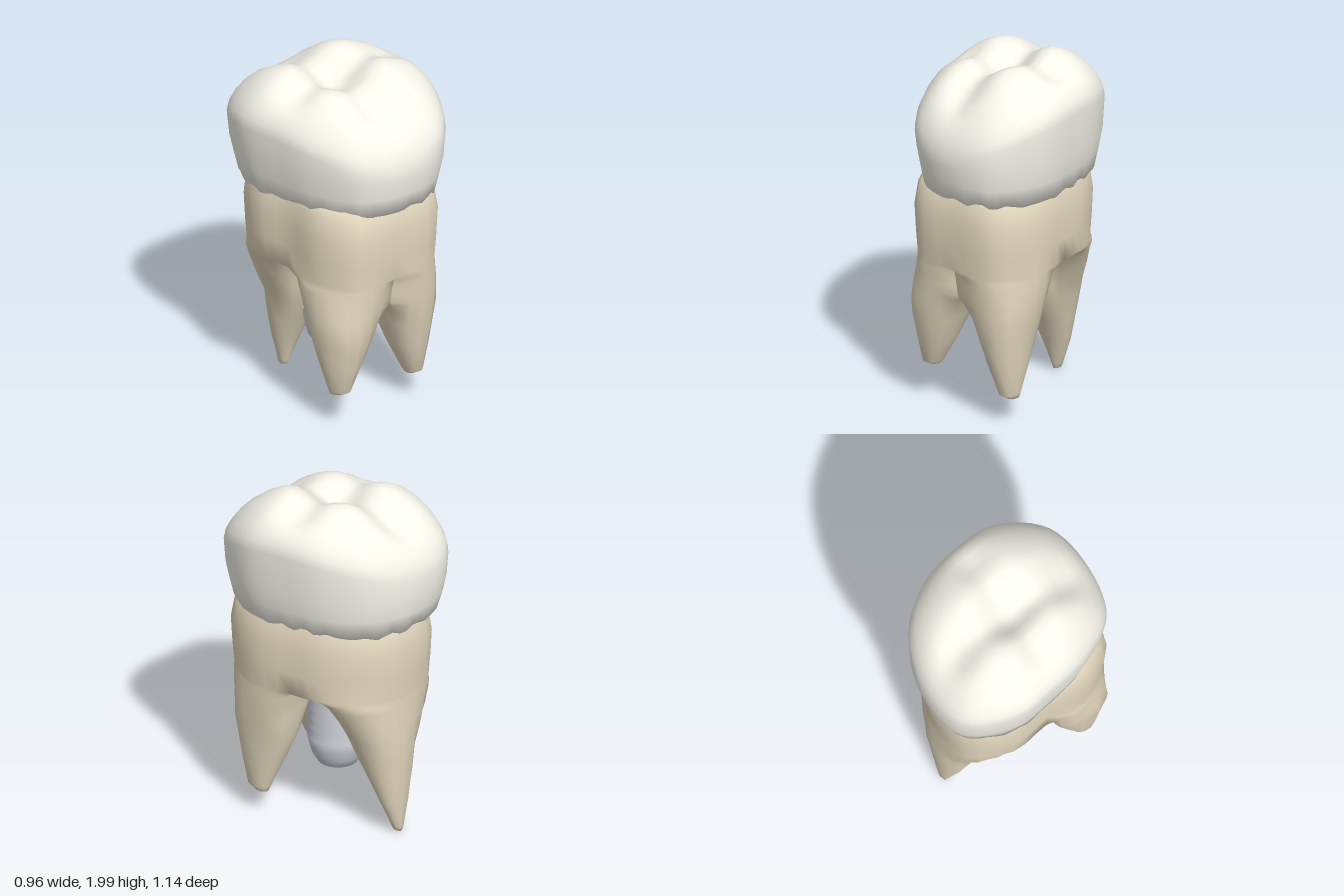
import * as THREE from 'three';
import { mergeGeometries, mergeVertices } from 'three/addons/utils/BufferGeometryUtils.js';

// Closed plan outline: one [x, z] point every 30 degrees, from +x towards +z
const planCurve = (points) =>
  new THREE.CatmullRomCurve3(points.map(([x, z]) => new THREE.Vector3(x, 0, z)), true);

const crownPlan = planCurve([
  [0.47, 0], [0.46, 0.27], [0.29, 0.52], [0, 0.565], [-0.27, 0.47], [-0.41, 0.24],
  [-0.46, 0], [-0.47, -0.27], [-0.31, -0.53], [0, -0.565], [0.27, -0.45], [0.42, -0.24],
]);
const trunkPlan = planCurve([
  [0.39, 0], [0.402, 0.26], [0.28, 0.48], [-0.015, 0.5], [-0.27, 0.47], [-0.388, 0.26],
  [-0.372, 0], [-0.388, -0.24], [-0.25, -0.465], [0.01, -0.5], [0.225, -0.41], [0.355, -0.215],
]);

// Skin over closed rings of equal length, listed from top to bottom
function loft(rings) {
  const n = rings[0].length;
  const index = [];
  for (let r = 0; r < rings.length - 1; r++) {
    for (let i = 0; i < n; i++) {
      const a = r * n + i, b = r * n + (i + 1) % n;
      index.push(a, b, a + n, b, b + n, a + n);
    }
  }
  const geo = new THREE.BufferGeometry().setFromPoints(rings.flat());
  geo.setIndex(index);
  return geo;
}

function smooth(parts) {
  const geo = mergeVertices(mergeGeometries(parts), 1e-4);
  geo.computeVertexNormals();
  return geo;
}

// Crown: four-cusped top with crossing grooves, swollen sides, ragged lower margin
function crownGeometry() {
  const N = 72;
  const gauss = (v, s) => Math.exp(-(v * v) / (s * s));
  const ring = (fn) => Array.from({ length: N }, (_, i) => fn(crownPlan.getPoint(i / N), i / N * Math.PI * 2));
  const dome = [[0, 1.99], [0.08, 1.99], [0.16, 1.99], [0.25, 1.995], [0.34, 1.998], [0.44, 1.985],
    [0.55, 1.955], [0.65, 1.92], [0.75, 1.88], [0.85, 1.825], [0.93, 1.765], [0.98, 1.71], [1, 1.65]];
  const rings = dome.map(([k, y]) => ring((p) => {
    const x = p.x * k, z = p.z * k;
    const fade = 1 - THREE.MathUtils.smoothstep(k, 0.6, 0.95);
    const groove = 0.065 * gauss(z, 0.12) + 0.085 * gauss(x + 0.04, 0.12);
    return new THREE.Vector3(x, y + 0.08 * x + 0.28 * x * x - 0.04 * z - 0.22 * z * z - groove * fade, z);
  }));
  const sides = [[0.955, 1, 1.5, 0], [0.905, 0.975, 1.4, 0], [0.86, 0.93, 1.295, 1], [0.76, 0.86, 1.33, 0], [0, 0, 1.36, 0]];
  for (const [sx, sz, y, rag] of sides) {
    rings.push(ring((p, t) => new THREE.Vector3(
      p.x * sx, y + rag * (0.016 * Math.sin(7 * t) * Math.sin(11 * t + 1) + 0.006 * Math.sin(23 * t)), p.z * sz)));
  }
  return smooth([loft(rings)]);
}

// Root: a trunk that splits into three sectors, each tapering to its own tip
function rootGeometry() {
  const N = 36, SPLIT = 0.87, SEAM = -0.015;
  const trunkRing = ([y, s]) => Array.from({ length: N }, (_, i) => {
    const p = trunkPlan.getPoint(i / N);
    return new THREE.Vector3(SEAM + (p.x - SEAM) * s, y, p.z * s);
  });
  const trunk = [[1.36, 0], [1.35, 0.86], [1.28, 0.96], [1.15, 1], [1.0, 0.985], [SPLIT, 0.965]].map(trunkRing);
  const base = trunk[trunk.length - 1];
  const hub = new THREE.Vector3(SEAM, SPLIT, -0.02);

  // Arc of the trunk from index a to b, closed through the hub; keep is strongest mid-arc
  function sector(a, b) {
    const pts = [];
    for (let i = a; i <= b; i++) {
      pts.push({ p: base[i % N], keep: Math.sin(Math.PI * (i - a) / (b - a)) });
    }
    for (let s = 1; s <= 6; s++) pts.push({ p: base[b % N].clone().lerp(hub, s / 6), keep: 0 });
    for (let s = 1; s <= 5; s++) pts.push({ p: hub.clone().lerp(base[a % N], s / 6), keep: 0 });
    return pts;
  }

  // Rounded section inside x0..x1, z0..z1; the outer wall leaves the trunk outline slowly
  // and the two front roots stay joined at the seam down to their fork
  function section(from, [y, x0, x1, z0, z1, n]) {
    const cx = (x0 + x1) / 2, cz = (z0 + z1) / 2;
    const hold = THREE.MathUtils.smoothstep(y, 0.5, SPLIT);
    const join = THREE.MathUtils.smoothstep(y, 0.62, 0.7);
    return from.map(({ p, keep }) => {
      const t = Math.atan2(p.z - cz, p.x - cx);
      const c = Math.cos(t), s = Math.sin(t);
      const r = Math.pow(Math.pow(Math.abs(c) * 2 / (x1 - x0), n) + Math.pow(Math.abs(s) * 2 / (z1 - z0), n), -1 / n);
      const q = new THREE.Vector3(cx + r * c, 0, cz + r * s).lerp(p, hold * keep);
      if (Math.abs(p.x - SEAM) < 0.008) q.x = THREE.MathUtils.lerp(q.x, p.x, join);
      q.y = y;
      return q;
    });
  }

  const front = [
    [0.845, -0.01, 0.385, 0.06, 0.485, 5],
    [0.8, -0.008, 0.38, 0.065, 0.475, 4],
    [0.75, 0, 0.374, 0.075, 0.47, 3.6],
    [0.7, 0.01, 0.368, 0.085, 0.465, 3.3],
    [0.66, 0.022, 0.364, 0.09, 0.463, 3.1],
    [0.6, 0.045, 0.36, 0.1, 0.46, 2.9],
    [0.5, 0.08, 0.345, 0.115, 0.45, 2.6],
    [0.35, 0.125, 0.33, 0.17, 0.42, 2.3],
    [0.17, 0.2, 0.3, 0.24, 0.38, 2],
    [0.14, 0.225, 0.285, 0.25, 0.33, 2],
    [0.13, 0.255, 0.256, 0.28, 0.281, 2],
  ];
  const mirrored = front.map(([y, x0, x1, z0, z1, n]) =>
    [y > 0.6 ? y : 0.6 - (0.6 - y) * 0.87, -x1 - 0.028, -x0 - 0.025, z0, z1, n]);
  const back = [
    [0.845, -0.34, 0.32, -0.48, -0.1, 4],
    [0.8, -0.29, 0.26, -0.483, -0.115, 3.2],
    [0.7, -0.24, 0.21, -0.485, -0.14, 2.6],
    [0.6, -0.21, 0.185, -0.485, -0.155, 2.4],
    [0.5, -0.17, 0.16, -0.485, -0.175, 2.3],
    [0.35, -0.14, 0.12, -0.475, -0.25, 2.2],
    [0.2, -0.1, 0.08, -0.465, -0.32, 2],
    [0.04, -0.045, 0.015, -0.45, -0.375, 2],
    [0.01, -0.035, 0, -0.445, -0.385, 2],
    [0, -0.016, -0.015, -0.41, -0.409, 2],
  ];
  const parts = [loft(trunk)];
  for (const [a, b, table] of [[0, 9, front], [9, 18, mirrored], [18, 36, back]]) {
    const start = sector(a, b);
    parts.push(loft([start.map(({ p }) => p), ...table.map((row) => section(start, row))]));
  }
  return smooth(parts);
}

// Implant: rounded tip below a sawtooth thread
function implantGeometry() {
  const profile = [[0, 0.28], [0.06, 0.284], [0.11, 0.31], [0.14, 0.36], [0.157, 0.42]];
  for (let y = 0.47; y < 0.98; y += 0.06) profile.push([0.167, y], [0.152, y + 0.05]);
  profile.push([0, 1.05]);
  return new THREE.LatheGeometry(profile.map(([x, y]) => new THREE.Vector2(x, y)), 36);
}

export function createModel() {
  const group = new THREE.Group();
  group.name = 'tooth';
  const add = (name, geometry, color) => {
    const mesh = new THREE.Mesh(geometry, new THREE.MeshStandardMaterial({ color }));
    mesh.name = name;
    group.add(mesh);
    return mesh;
  };
  add('crown', crownGeometry(), 0xf8f6ec);
  add('roots', rootGeometry(), 0xe6dac0);
  add('implantScrew', implantGeometry(), 0xd0d2da).position.set(-0.02, 0, -0.01);
  return group;
}
